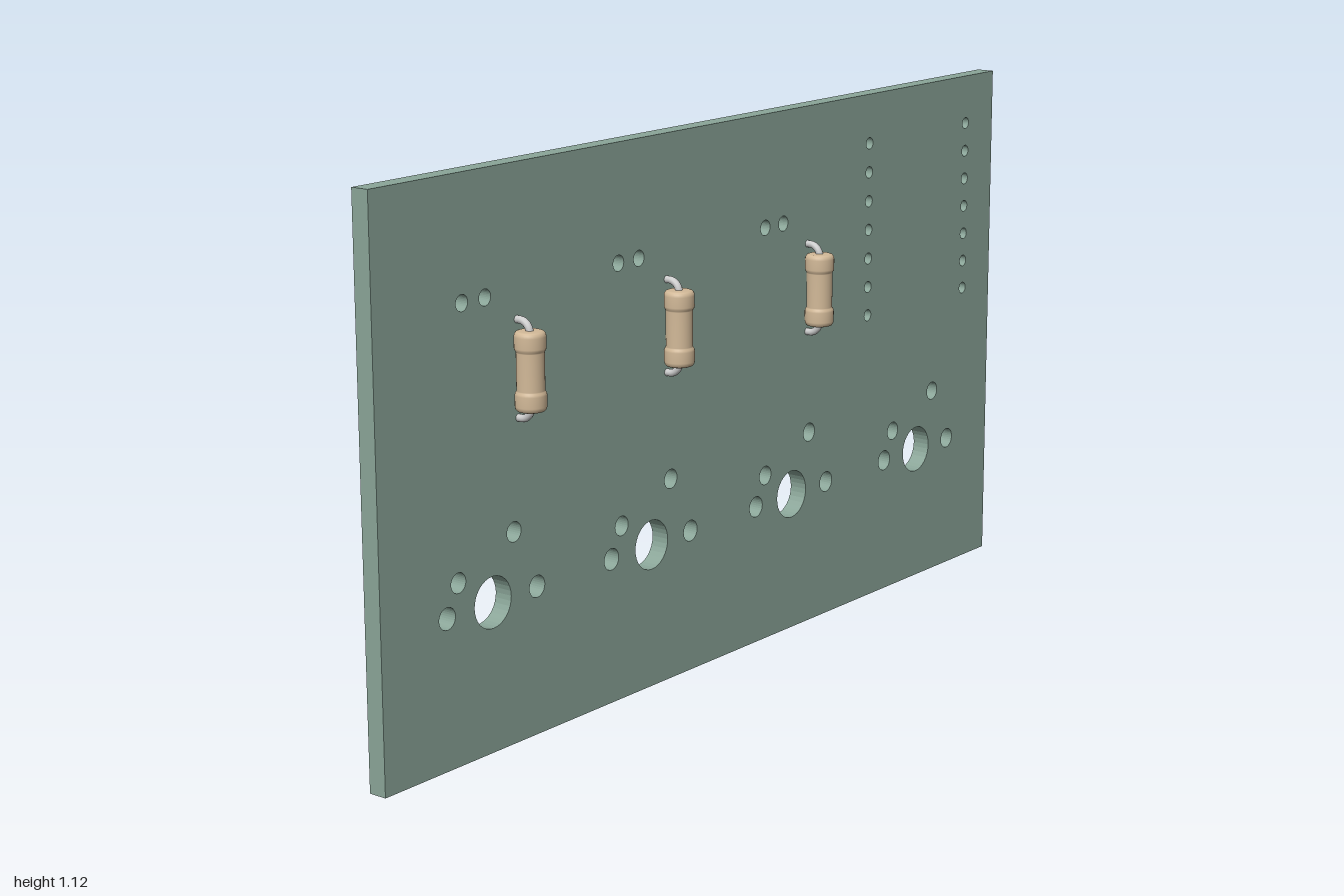
import * as THREE from 'three';

const BACK = -0.034, THICK = 0.039;

function createBoard(material) {
  const outline = new THREE.Shape();
  outline.moveTo(-1, 0).lineTo(1, 0).lineTo(1, 1.12).lineTo(-1, 1.12).closePath();
  const hole = (x, y, r) =>
    outline.holes.push(new THREE.Path().absarc(x, y, r, 0, Math.PI * 2, true));

  // Four switch footprints: centre post, two side pegs, two pins
  for (let i = 0; i < 4; i++) {
    const x = -0.701 + i * 0.471, y = 0.297;
    hole(x, y, 0.051);
    hole(x - 0.125, y, 0.022);
    hole(x + 0.125, y, 0.022);
    hole(x - 0.093, y + 0.061, 0.02);
    hole(x + 0.062, y + 0.123, 0.02);
  }
  // Three pairs of lamp holes
  for (const [x, y] of [[-0.738, 0.881], [-0.295, 0.885], [0.176, 0.885]]) {
    hole(x - 0.031, y, 0.016);
    hole(x + 0.031, y, 0.016);
  }
  // Two columns of header holes
  for (const x of [0.516, 0.891]) {
    for (let i = 0; i < 7; i++) hole(x, 0.638 + i * 0.0627, 0.0125);
  }
  const geometry = new THREE.ExtrudeGeometry(outline, { depth: THICK, bevelEnabled: false, curveSegments: 16 });
  geometry.translate(0, 0, BACK);
  const board = new THREE.Mesh(geometry, material);
  board.name = 'circuitBoard';
  return board;
}

function createResistor(bodyMaterial, wireMaterial) {
  const resistor = new THREE.Group();
  resistor.name = 'resistor';

  // Bone-shaped body with rounded caps, mirrored about its middle
  const half = [[0.027, 0.036], [0.0275, 0.038], [0.0295, 0.041], [0.0305, 0.045], [0.0305, 0.066],
    [0.0295, 0.071], [0.0265, 0.075], [0.022, 0.0765], [0, 0.0765]];
  const profile = [...half.map(([r, y]) => [r, -y]).reverse(), ...half];
  const body = new THREE.Mesh(
    new THREE.LatheGeometry(profile.map(([r, y]) => new THREE.Vector2(r, y)), 32), bodyMaterial);
  body.position.z = 0.037;
  body.name = 'resistorBody';
  resistor.add(body);

  // Bent leads passing through the board
  for (const side of [1, -1]) {
    const v = (y, z) => new THREE.Vector3(0, side * y, z);
    const path = new THREE.CurvePath();
    path.add(new THREE.LineCurve3(v(0.094, -0.067), v(0.094, 0.013)));
    path.add(new THREE.CubicBezierCurve3(v(0.094, 0.013), v(0.094, 0.0263), v(0.0833, 0.037), v(0.07, 0.037)));
    const lead = new THREE.Mesh(new THREE.TubeGeometry(path, 32, 0.0075, 12), wireMaterial);
    const tip = new THREE.Mesh(new THREE.CircleGeometry(0.0075, 12), wireMaterial);
    tip.position.set(0, side * 0.094, -0.067);
    tip.rotation.y = Math.PI;
    lead.name = 'resistorLead';
    tip.name = 'leadTip';
    resistor.add(lead, tip);
  }
  return resistor;
}

export function createModel() {
  const model = new THREE.Group();
  model.name = 'circuitBoardAssembly';
  const green = new THREE.MeshStandardMaterial({ color: 0x8aa598 });
  const tan = new THREE.MeshStandardMaterial({ color: 0xd2b998 });
  const metal = new THREE.MeshStandardMaterial({ color: 0xcccccc });

  model.add(createBoard(green));
  for (const [x, y] of [[-0.621, 0.732], [-0.179, 0.736], [0.292, 0.736]]) {
    const resistor = createResistor(tan, metal);
    resistor.position.set(x, y, 0);
    model.add(resistor);
  }
  return model;
}
